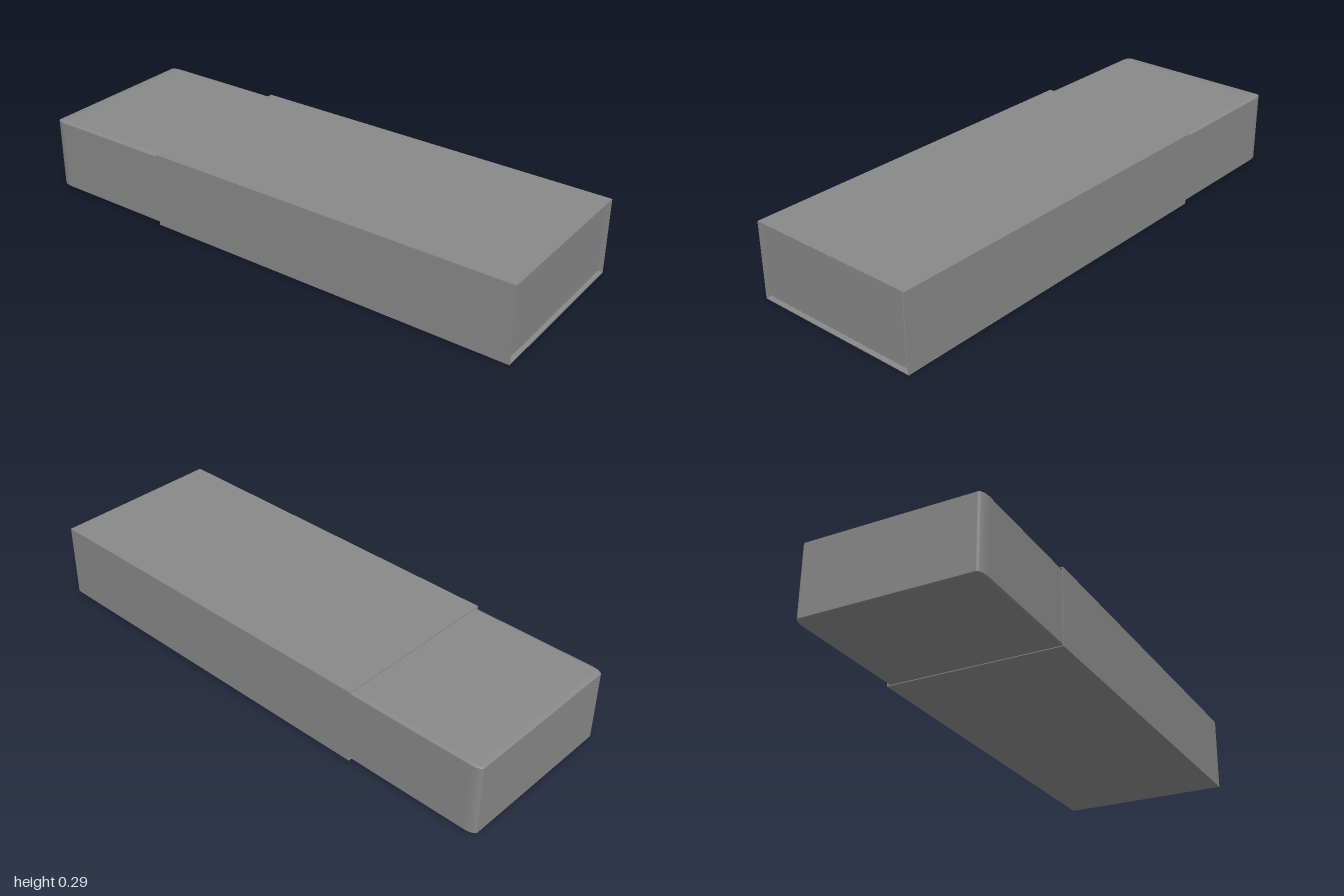
import * as THREE from 'three';
import { RoundedBoxGeometry } from 'three/addons/geometries/RoundedBoxGeometry.js';

const material = new THREE.MeshStandardMaterial({ color: 0x888888 });

// Rectangle outline centred on x = 0, resting at the given height
function rectangle(target, halfWidth, bottom, top) {
  target.moveTo(-halfWidth, bottom);
  target.lineTo(halfWidth, bottom);
  target.lineTo(halfWidth, top);
  target.lineTo(-halfWidth, top);
  target.closePath();
  return target;
}

// Thin sleeve, open at both ends, running along x
function createSleeve() {
  const start = -0.475, end = 1, wall = 0.003, height = 0.293, halfDepth = 0.338;
  const outline = rectangle(new THREE.Shape(), halfDepth, 0, height);
  outline.holes.push(rectangle(new THREE.Path(), halfDepth - wall, wall, height - wall));
  const geometry = new THREE.ExtrudeGeometry(outline, { depth: end - start, bevelEnabled: false });
  geometry.rotateY(Math.PI / 2);
  geometry.translate(start, 0, 0);
  const sleeve = new THREE.Mesh(geometry, material);
  sleeve.name = 'sleeve';
  return sleeve;
}

// Solid tray with softly rounded edges, stretched so each axis has its own radius
function createTray() {
  const start = -1, end = 0.988, bottom = 0.004, top = 0.289, depth = 0.666;
  const radius = 0.1;
  const stretch = new THREE.Vector3(0.045, 0.008, 0.018).divideScalar(radius);
  const geometry = new RoundedBoxGeometry(
    (end - start) / stretch.x, (top - bottom) / stretch.y, depth / stretch.z, 5, radius);
  geometry.scale(stretch.x, stretch.y, stretch.z);
  geometry.translate((start + end) / 2, (bottom + top) / 2, 0);
  const tray = new THREE.Mesh(geometry, material);
  tray.name = 'tray';
  return tray;
}

export function createModel() {
  const group = new THREE.Group();
  group.name = 'slidingBox';
  group.add(createSleeve(), createTray());
  return group;
}
